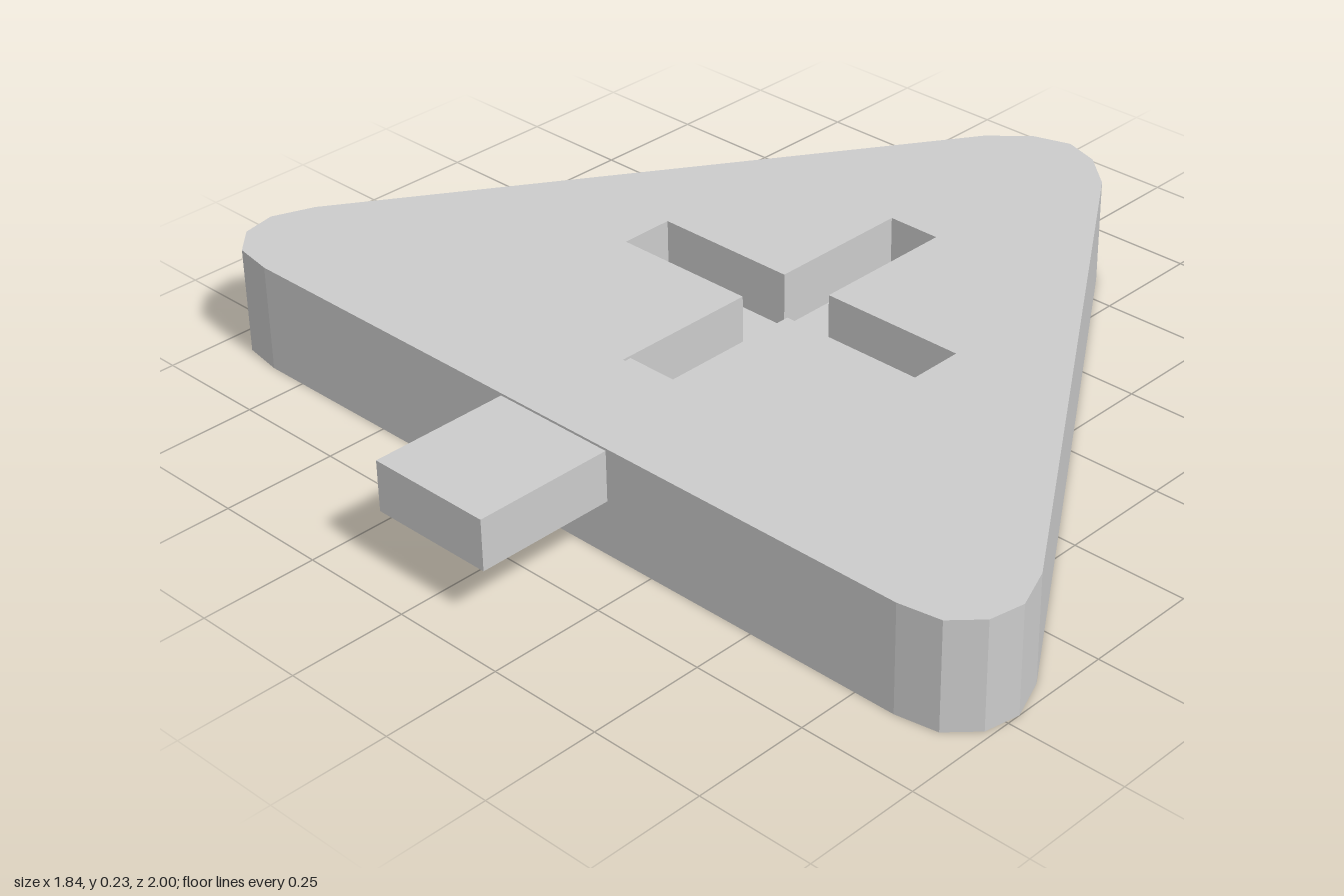
import * as THREE from 'three';

const material = new THREE.MeshStandardMaterial({ color: 0xcccccc, flatShading: true });

const toVectors = (points) => points.map(([x, y]) => new THREE.Vector2(x, y));

// Triangular outline with faceted rounded corners, mirrored across the x axis
function triangleOutline() {
  const half = [[0.82, 0.16], [0.89, 0.08], [0.915, 0]];
  const corner = [[-0.615, 0.84], [-0.6, 0.93], [-0.545, 0.985], [-0.47, 1], [-0.38, 0.965]];
  const upper = [...corner, ...half];
  const lower = upper.slice(0, -1).reverse().map(([x, y]) => [x, -y]);
  return toVectors([...upper, ...lower].reverse());
}

// Plus-shaped opening
function crossOutline() {
  const [l, r, a, b, w, h] = [-0.375, 0.4, -0.045, 0.075, 0.06, 0.388];
  return toVectors([
    [l, -w], [a, -w], [a, -h], [b, -h], [b, -w], [r, -w],
    [r, w], [b, w], [b, h], [a, h], [a, w], [l, w],
  ]);
}

// Horizontal slab between two heights, with an optional opening
function slab(name, bottom, top, opening) {
  const shape = new THREE.Shape(triangleOutline());
  if (opening) shape.holes.push(new THREE.Path(opening));
  const geometry = new THREE.ExtrudeGeometry(shape, { depth: top - bottom, bevelEnabled: false });
  geometry.rotateX(-Math.PI / 2).translate(0, bottom, 0);
  const mesh = new THREE.Mesh(geometry, material);
  mesh.name = name;
  return mesh;
}

export function createModel() {
  const group = new THREE.Group();
  group.name = 'triangularPlate';

  // Solid base forms the floor of the cross recess
  const floor = 0.115;
  group.add(slab('basePlate', 0, floor));
  group.add(slab('recessedTopPlate', floor, 0.235, crossOutline()));

  // Tab runs from outside the flat edge to just inside the recess
  const tab = new THREE.Mesh(new THREE.BoxGeometry(0.565, 0.11, 0.28), material);
  tab.name = 'sideTab';
  tab.position.set(-0.6375, 0.175, 0);
  group.add(tab);

  return group;
}
